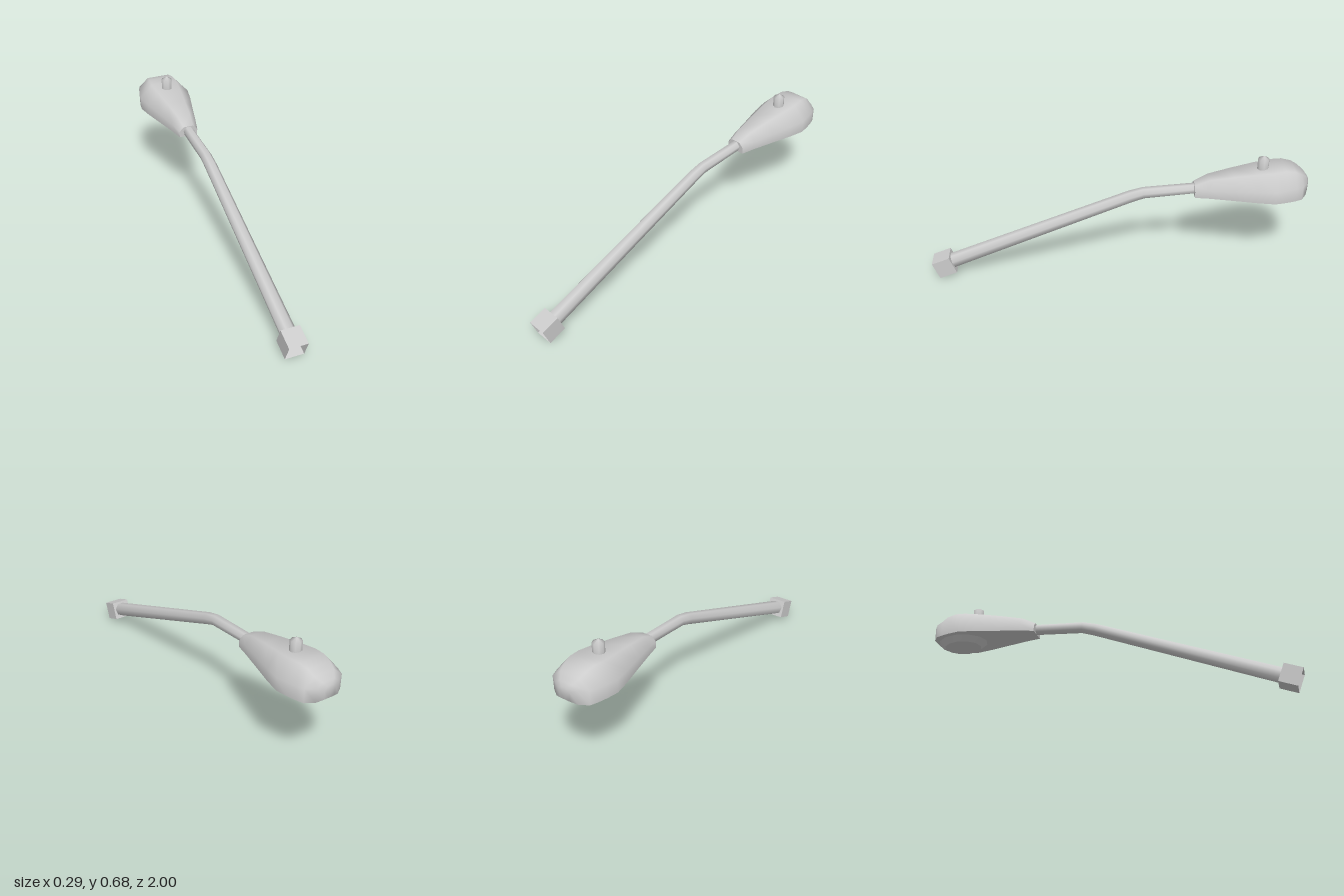
import * as THREE from 'three';
import { toCreasedNormals } from 'three/addons/utils/BufferGeometryUtils.js';

const material = new THREE.MeshStandardMaterial({ color: 0xcccccc, side: THREE.DoubleSide });

function addPart(group, name, geometry) {
  const mesh = new THREE.Mesh(geometry, material);
  mesh.name = name;
  group.add(mesh);
  return mesh;
}

// Skin over closed rings, each counter-clockwise seen from +z and running towards -z
function loft(rings, capped, crease = 1.1) {
  const n = rings[0].length;
  const index = [];
  for (let i = 0; i < rings.length - 1; i++) {
    for (let j = 0; j < n; j++) {
      const a = i * n + j, b = i * n + (j + 1) % n;
      index.push(a, a + n, b, b, a + n, b + n);
    }
  }
  if (capped) {
    const last = (rings.length - 1) * n;
    for (let j = 1; j < n - 1; j++) {
      index.push(0, j, j + 1, last, last + j + 1, last + j);
    }
  }
  const geometry = new THREE.BufferGeometry();
  geometry.setAttribute('position', new THREE.Float32BufferAttribute(rings.flat(2), 3));
  geometry.setIndex(index);
  return toCreasedNormals(geometry, crease);
}

// Seven-sided ring with its point at the bottom, tilted to follow the arm
function armRing([y, z, radius, tilt]) {
  return Array.from({ length: 7 }, (_, i) => {
    const a = -Math.PI / 2 + (i / 7) * Math.PI * 2;
    const up = Math.sin(a) * radius;
    return [Math.cos(a) * radius, y + up * Math.cos(tilt), z + up * Math.sin(tilt)];
  });
}

// Lamp housing section: flat bottom, upright sides and sloping shoulders
function headRing([z, w, bottom, side, top]) {
  return [
    [0, bottom, z], [w * 0.98, bottom, z], [w, side, z], [w * 0.52, top, z],
    [-w * 0.52, top, z], [-w, side, z], [-w * 0.98, bottom, z],
  ];
}

export function createModel() {
  const model = new THREE.Group();
  model.name = 'streetLamp';

  // Square mounting socket, open at the front end
  const socket = new THREE.BoxGeometry(0.1, 0.1, 0.1);
  const faces = Array.from(socket.index.array);
  faces.splice(24, 6);
  socket.setIndex(faces);
  socket.clearGroups();
  const mount = addPart(model, 'mountSocket', socket);
  mount.position.set(0, 0.064, 0.936);
  mount.rotation.x = 0.36;

  // Tapered arm: y, z, radius, tilt
  const armPath = [
    [0.0795, 0.897, 0.041, 0.37],
    [0.455, -0.07, 0.033, 0.33],
    [0.476, -0.14, 0.031, 0.13],
    [0.497, -0.43, 0.029, 0.07],
  ];
  addPart(model, 'arm', loft(armPath.map(armRing), false));

  // Lamp housing: z, half width, bottom, side height, top
  const headSections = [
    [-0.405, 0.053, 0.467, 0.5, 0.525],
    [-0.48, 0.071, 0.47, 0.515, 0.56],
    [-0.6, 0.1, 0.47, 0.525, 0.583],
    [-0.72, 0.13, 0.47, 0.535, 0.602],
    [-0.81, 0.147, 0.47, 0.54, 0.614],
    [-0.87, 0.136, 0.47, 0.545, 0.62],
    [-0.92, 0.122, 0.47, 0.545, 0.61],
    [-0.955, 0.108, 0.47, 0.545, 0.59],
    [-0.985, 0.065, 0.473, 0.545, 0.566],
    [-1.0, 0.03, 0.485, 0.535, 0.547],
  ];
  addPart(model, 'lampHousing', loft(headSections.map(headRing), true));

  // Shallow lens under the housing
  const lensShape = new THREE.CylinderGeometry(1, 0.75, 0.032, 12).scale(0.112, 1, 0.14);
  addPart(model, 'lens', toCreasedNormals(lensShape, 0.6)).position.set(0, 0.456, -0.84);

  // Light sensor with a pointed cap on top of the housing
  const sensorProfile = [[0.03, 0.59], [0.03, 0.66], [0, 0.677]].map(([r, y]) => new THREE.Vector2(r, y));
  addPart(model, 'lightSensor', new THREE.LatheGeometry(sensorProfile, 8)).position.z = -0.76;

  return model;
}
